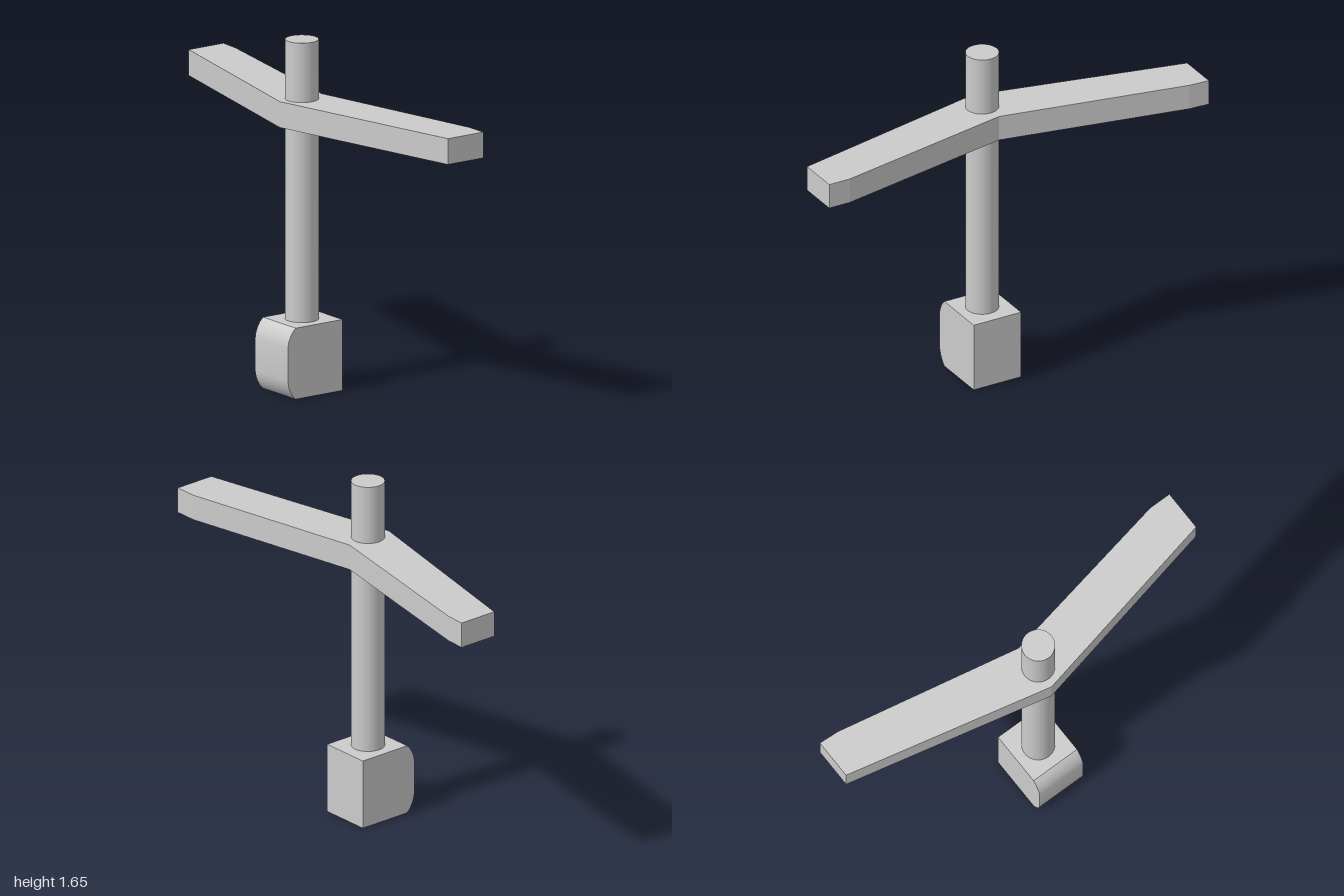
import * as THREE from 'three';
import { toCreasedNormals } from 'three/addons/utils/BufferGeometryUtils.js';

const material = new THREE.MeshStandardMaterial({ color: 0xcccccc });

function part(name, geometry) {
  const mesh = new THREE.Mesh(geometry, material);
  mesh.name = name;
  return mesh;
}

function extrude(points, depth) {
  const shape = new THREE.Shape(points.map(([x, y]) => new THREE.Vector2(x, y)));
  return new THREE.ExtrudeGeometry(shape, { depth, bevelEnabled: false });
}

export function createModel() {
  const group = new THREE.Group();
  const axisX = -0.072, axisZ = 0.017;

  // Block foot with its right side rounded at top and bottom
  const height = 0.335;
  const curve = [[-0.2, 0], [-0.218, 0.018], [-0.232, 0.042], [-0.241, 0.066], [-0.245, 0.092]];
  const upper = curve.map(([x, y]) => [x, height - y]).reverse();
  const foot = extrude([[0.066, height], ...upper.reverse(), ...curve.reverse(), [0.066, 0]], 0.25);
  foot.translate(0, 0, axisZ - 0.125);
  group.add(part('foot', toCreasedNormals(foot, 0.5)));

  // Round post, running through the crossbar
  const postBottom = height, postTop = 1.652;
  const post = new THREE.CylinderGeometry(0.077, 0.077, postTop - postBottom, 48);
  post.translate(axisX, (postTop + postBottom) / 2, axisZ);
  group.add(part('post', post));

  // Bent crossbar, outlined in plan (x, z)
  const bar = extrude([
    [0.041, -1], [0.238, -1], [0.232, -0.9], [0.053, 0],
    [0.228, 0.89], [0.228, 1], [0.027, 1], [-0.188, 0.005],
  ], 0.122);
  bar.rotateX(Math.PI / 2).translate(0, 1.372, 0);
  group.add(part('crossbar', bar));

  return group;
}
